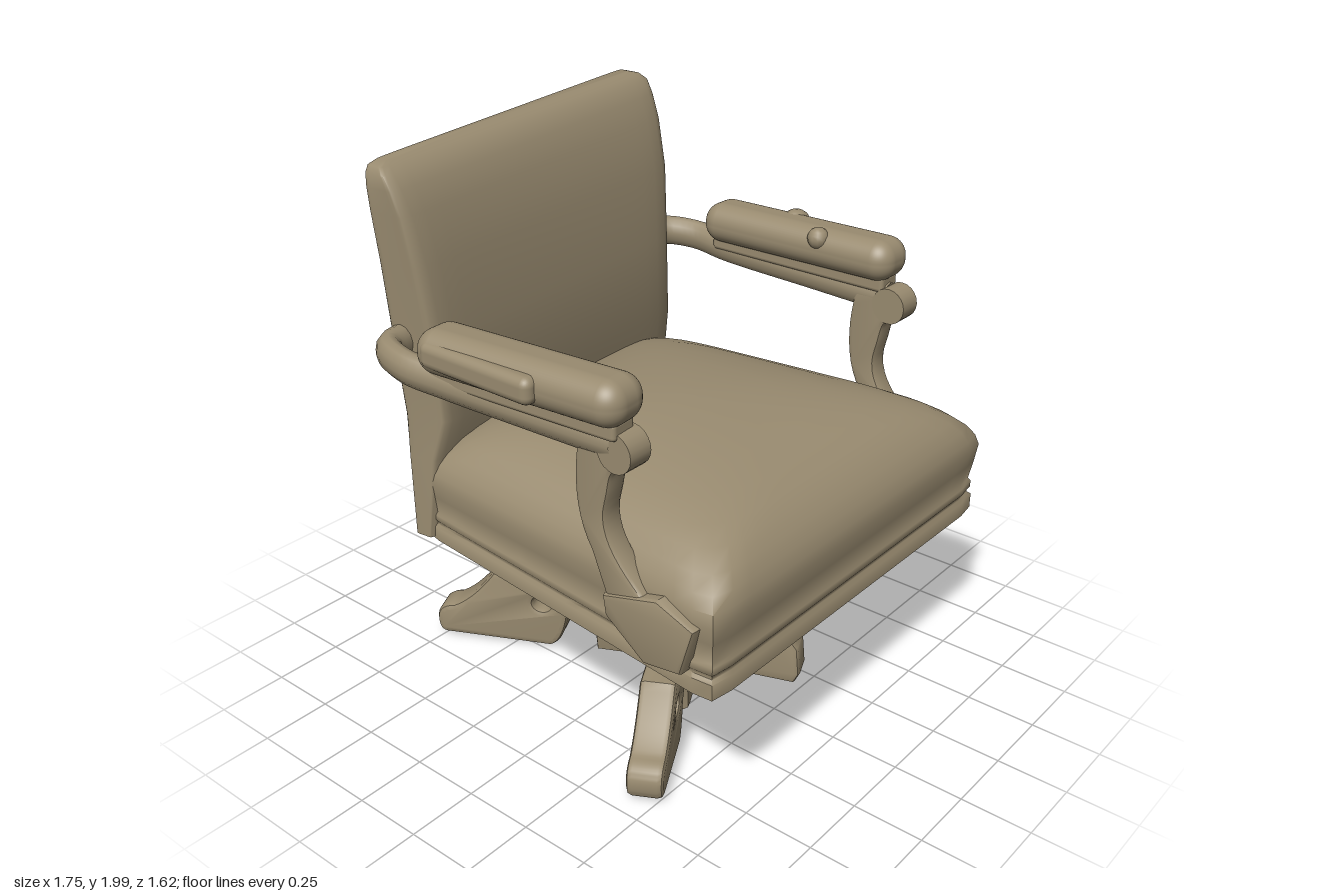
import * as THREE from 'three';
import { toCreasedNormals } from 'three/addons/utils/BufferGeometryUtils.js';
import { RoundedBoxGeometry } from 'three/addons/geometries/RoundedBoxGeometry.js';

const material = new THREE.MeshStandardMaterial({ color: 0x998b70 });

function part(name, geometry, parent) {
  const mesh = new THREE.Mesh(geometry, material);
  mesh.name = name;
  parent.add(mesh);
  return mesh;
}

// Stacks rounded four-sided rings. Each level has y, scale s, squareness p and
// corners q = [frontLeft, frontRight, backRight, backLeft] as [x, z]; tilt adjusts y.
function loft(levels, tilt) {
  const n = 96, pos = [], idx = [];
  const mix = (q, u, v, k) =>
    ((1 - u) * (1 + v) * q[0][k] + (1 + u) * (1 + v) * q[1][k] +
     (1 + u) * (1 - v) * q[2][k] + (1 - u) * (1 - v) * q[3][k]) / 4;
  const add = (l, u, v) => {
    const x = mix(l.q, u, v, 0), z = mix(l.q, u, v, 1);
    pos.push(x, l.y + tilt(x, l.y, z), z);
  };
  for (const l of levels) {
    for (let i = 0; i < n; i++) {
      const a = i / n * Math.PI * 2, c = Math.cos(a), s = Math.sin(a);
      const r = l.s / Math.pow(Math.abs(c) ** l.p + Math.abs(s) ** l.p, 1 / l.p);
      add(l, r * c, r * s);
    }
  }
  const top = (levels.length - 1) * n, c0 = levels.length * n;
  add(levels[0], 0, 0);
  add(levels[levels.length - 1], 0, 0);
  for (let i = 0; i < n; i++) {
    const j = (i + 1) % n;
    for (let k = 0; k < top; k += n) idx.push(k + i, k + n + i, k + j, k + j, k + n + i, k + n + j);
    idx.push(c0, i, j, c0 + 1, top + j, top + i);
  }
  const g = new THREE.BufferGeometry();
  g.setAttribute('position', new THREE.Float32BufferAttribute(pos, 3));
  g.setIndex(idx);
  return toCreasedNormals(g, 0.9);
}

// Extrudes a profile drawn in (z, y) and centres its thickness on x = 0.
function sidePlate(shape, width, bevel = 0.015) {
  const g = new THREE.ExtrudeGeometry(shape, {
    depth: width - 2 * bevel, bevelEnabled: true, bevelSize: bevel, bevelOffset: -bevel,
    bevelThickness: bevel, bevelSegments: 2, curveSegments: 10 });
  g.translate(0, 0, -width / 2 + bevel);
  g.rotateY(-Math.PI / 2);
  return toCreasedNormals(g, 0.6);
}

const polygon = pts => new THREE.Shape(pts.map(p => new THREE.Vector2(...p)));

function buildSeat(group) {
  const q = [[-0.75, 0.795], [0.805, 0.805], [0.61, -0.63], [-0.67, -0.54]];
  const levels = [
    // two welted bands, then the side and the domed cushion
    [0.585, 0.99, 40], [0.64, 0.99, 40], [0.65, 0.975, 40], [0.66, 0.975, 40], [0.67, 0.985, 40], [0.695, 0.985, 40],
    [0.705, 0.975, 40], [0.78, 0.99, 40], [0.84, 1, 40], [0.88, 0.99, 30], [0.92, 0.965, 22], [0.96, 0.925, 15],
    [1.0, 0.865, 10], [1.03, 0.8, 7], [1.06, 0.7, 5], [1.09, 0.55, 3.4], [1.11, 0.37, 2.6], [1.12, 0.2, 2.1], [1.124, 0.05, 2],
  ].map(([y, s, p]) => ({ y, s, p, q }));
  part('seat', loft(levels, (x, y, z) =>
    0.06 * (0.8 - z) / 1.44 * Math.max(0, 1 - (y - 0.585) / 0.4)), group);
}

function buildBack(group) {
  // y, scale, front z (left, right), back z (left, right), left x, right x, front inset
  const levels = [
    [0.645, 1, -0.47, -0.49, -0.55, -0.64, -0.69, 0.62, 0.01],
    [0.95, 1, -0.43, -0.48, -0.56, -0.65, -0.69, 0.62, 0.02],
    [1.1, 1, -0.39, -0.44, -0.565, -0.655, -0.69, 0.61, 0.04],
    [1.4, 1, -0.39, -0.45, -0.58, -0.67, -0.71, 0.615, 0.04],
    [1.65, 1, -0.41, -0.475, -0.59, -0.685, -0.725, 0.625, 0.03],
    [1.82, 1, -0.44, -0.52, -0.6, -0.7, -0.735, 0.63, 0.02],
    [1.9, 1, -0.47, -0.56, -0.605, -0.705, -0.735, 0.63, 0.01],
    [1.945, 0.99, -0.5, -0.59, -0.607, -0.71, -0.735, 0.63, 0],
    [1.965, 0.975, -0.53, -0.62, -0.607, -0.71, -0.73, 0.625, 0],
    [1.975, 0.94, -0.55, -0.65, -0.6, -0.7, -0.72, 0.615, 0],
  ].map(([y, s, fl, fr, bl, br, xl, xr, inset]) =>
    ({ y, s, p: 12, q: [[xl + inset, fl], [xr - inset, fr], [xr, br], [xl, bl]] }));
  part('backrest', loft(levels, (x, y) => 0.035 * x * Math.max(0, (y - 0.8) / 1.2)), group);
}

function buildArm(group, name, { pad, yaw, length, postX, rail }) {
  const arm = new THREE.Group();
  arm.name = name;
  group.add(arm);

  const cushion = part('armPad', new RoundedBoxGeometry(0.185, 0.15, length, 6, 0.07), arm);
  cushion.position.set(...pad);
  cushion.rotation.set(-0.01, yaw, 0);
  const board = part('armPadBoard', new RoundedBoxGeometry(0.1, 0.06, length * 0.92, 2, 0.015), arm);
  board.position.set(pad[0], 1.375, pad[2]);
  board.rotation.y = yaw;

  // oval rail, taller than wide
  const tall = 1.3;
  const path = new THREE.CatmullRomCurve3(rail.map(([x, y, z]) => new THREE.Vector3(x, y / tall, z)));
  part('armRail', new THREE.TubeGeometry(path, 40, 0.044, 12).scale(1, tall, 1), arm);

  // scrolled hand rest at the front of the rail
  const scroll = part('armScroll', new THREE.CylinderGeometry(0.065, 0.065, 0.09, 20), arm);
  scroll.rotation.z = Math.PI / 2;
  scroll.position.set(postX, 1.305, 0.44);

  // curved front post
  const s = new THREE.Shape();
  s.moveTo(0.46, 1.25);
  s.lineTo(0.46, 1.35);
  s.lineTo(0.3, 1.33);
  s.bezierCurveTo(0.27, 1.2, 0.27, 1.05, 0.34, 0.95);
  s.lineTo(0.4, 0.8);
  s.lineTo(0.56, 0.84);
  s.bezierCurveTo(0.42, 0.95, 0.37, 1.03, 0.4, 1.13);
  s.bezierCurveTo(0.42, 1.2, 0.41, 1.24, 0.46, 1.25);
  part('armPost', sidePlate(s, 0.085), arm).position.x = postX;

  // angular block joining the post to the seat side
  const block = polygon([[0.74, 0.83], [0.6, 0.88], [0.39, 0.82], [0.4, 0.75], [0.55, 0.64], [0.69, 0.66]]);
  part('armPostBlock', sidePlate(block, 0.09), arm).position.x = postX + Math.sign(postX) * 0.01;
  return arm;
}

function buildBase(group) {
  const base = new THREE.Group();
  base.name = 'base';
  base.position.set(0.05, 0, 0.07);
  group.add(base);

  // leg profile along its length: toe, slope, top, and an arched notch below
  const legShape = L => {
    const s = new THREE.Shape();
    s.moveTo(0, 0.02);
    s.lineTo(0.34, 0.02);
    s.lineTo(0.35, 0.15);
    s.quadraticCurveTo(0.39, 0.24, 0.45, 0.15);
    s.quadraticCurveTo(0.47, 0.03, 0.52, 0.01);
    s.lineTo(L - 0.04, 0.01);
    s.quadraticCurveTo(L, 0.01, L, 0.07);
    s.quadraticCurveTo(L, 0.13, L - 0.07, 0.14);
    s.quadraticCurveTo(L - 0.15, 0.18, L - 0.24, 0.31);
    s.lineTo(0.4, 0.32);
    s.lineTo(0.38, 0.28);
    s.lineTo(0, 0.27);
    s.holes.push(new THREE.Path().absellipse(0.55, 0.19, 0.035, 0.03, 0, Math.PI * 2, true));
    return s;
  };
  const shortLeg = polygon([[0, 0.02], [0.41, 0], [0.43, 0.04], [0.42, 0.15], [0.3, 0.3], [0.2, 0.32], [0, 0.27]]);
  // toe directions as [x, z]
  for (const [x, z] of [[-0.73, 0.4], [0.81, -0.39], [-0.435, -0.865], [0.165, 0.37]]) {
    const L = Math.hypot(x, z);
    const leg = part('baseLeg', sidePlate(L < 0.5 ? shortLeg : legShape(L), 0.125, 0.02), base);
    leg.rotation.y = Math.atan2(x, z);
  }
  const hub = part('baseHub', new THREE.CylinderGeometry(0.12, 0.14, 0.24, 16), base);
  hub.position.y = 0.15;
}

export function createModel() {
  const chair = new THREE.Group();
  chair.name = 'armchair';
  buildSeat(chair);
  buildBack(chair);
  buildBase(chair);

  const leftArm = buildArm(chair, 'leftArm', {
    pad: [0.74, 1.455, 0.035], yaw: 0, length: 0.82, postX: 0.735,
    rail: [[0.59, 1.37, -0.6], [0.69, 1.37, -0.57], [0.745, 1.36, -0.46], [0.74, 1.345, -0.3], [0.74, 1.33, 0.1], [0.735, 1.32, 0.42]],
  });
  const rightArm = buildArm(chair, 'rightArm', {
    pad: [-0.755, 1.455, 0.095], yaw: 0.07, length: 0.78, postX: -0.72,
    rail: [[-0.67, 1.37, -0.53], [-0.77, 1.37, -0.5], [-0.81, 1.36, -0.38], [-0.79, 1.345, -0.22], [-0.755, 1.33, 0.1], [-0.725, 1.32, 0.42]],
  });

  // worn lumps on the left pad and a swollen outer edge on the right one
  for (const [x, y, z, r] of [[0.67, 1.5, 0.15, 0.04], [0.79, 1.48, -0.03, 0.06], [0.83, 1.42, -0.32, 0.04]]) {
    part('armPadLump', new THREE.SphereGeometry(r, 12, 8), leftArm).position.set(x, y, z);
  }
  const edge = part('armPadEdge', new RoundedBoxGeometry(0.08, 0.09, 0.46, 3, 0.03), rightArm);
  edge.position.set(-0.833, 1.455, -0.02);
  return chair;
}
